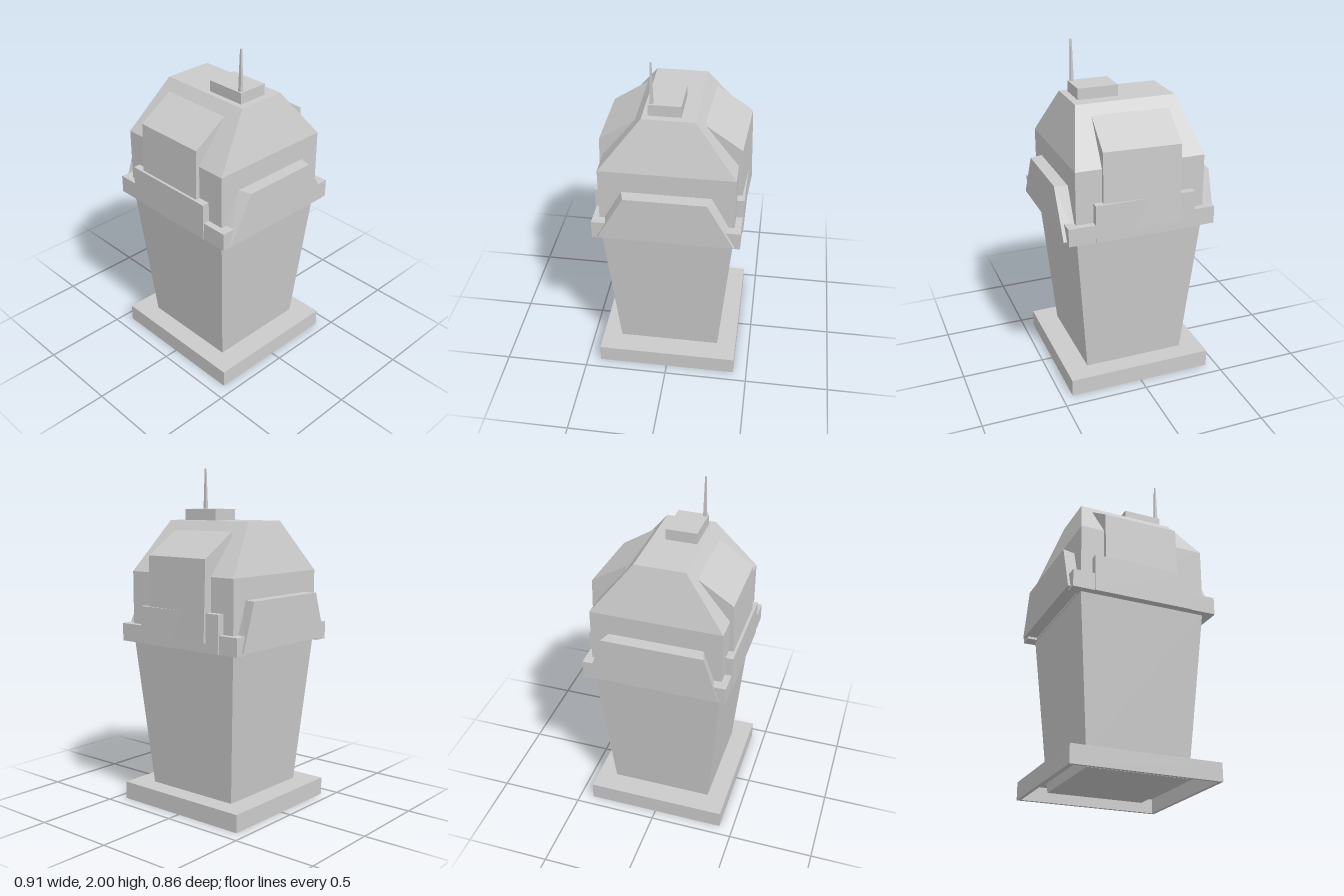
import * as THREE from 'three';

const material = new THREE.MeshStandardMaterial({ color: 0xcccccc, flatShading: true });

// Joins equal rings of points into a closed flat-sided solid.
// Each ring runs counter-clockwise when seen from the end of the loft.
function loft(rings) {
  const out = [];
  const n = rings[0].length;
  const tri = (a, b, c) => out.push(...a, ...b, ...c);
  for (let r = 0; r < rings.length - 1; r++) {
    const lo = rings[r], hi = rings[r + 1];
    for (let i = 0; i < n; i++) {
      const j = (i + 1) % n;
      tri(lo[i], lo[j], hi[j]);
      tri(lo[i], hi[j], hi[i]);
    }
  }
  const first = rings[0], last = rings[rings.length - 1];
  for (let i = 1; i < n - 1; i++) {
    tri(first[0], first[i + 1], first[i]);
    tri(last[0], last[i], last[i + 1]);
  }
  const geometry = new THREE.BufferGeometry();
  geometry.setAttribute('position', new THREE.Float32BufferAttribute(out, 3));
  geometry.computeVertexNormals();
  return geometry;
}

// Horizontal rectangle centred on the axis, half sizes hx and hz
const rect = (hx, hz, y) => [[-hx, y, hz], [hx, y, hz], [hx, y, -hz], [-hx, y, -hz]];

// Cross-section in the z-y plane at a given x
const section = (x, points) => points.map(([z, y]) => [x, y, z]);

export function createModel() {
  const model = new THREE.Group();
  model.name = 'tower';

  function add(name, geometry, parent = model) {
    const mesh = new THREE.Mesh(geometry, material);
    mesh.name = name;
    parent.add(mesh);
    return mesh;
  }
  // Box given by its limits
  function addBox(name, [x0, x1], [y0, y1], [z0, z1], parent) {
    const mesh = add(name, new THREE.BoxGeometry(x1 - x0, y1 - y0, z1 - z0), parent);
    mesh.position.set((x0 + x1) / 2, (y0 + y1) / 2, (z0 + z1) / 2);
    return mesh;
  }

  // Base: a plate with a rim, hollow underneath
  const base = new THREE.Group();
  base.name = 'base';
  model.add(base);
  addBox('basePlate', [-0.437, 0.437], [0.085, 0.105], [-0.418, 0.418], base);
  for (const s of [-1, 1]) {
    const side = addBox('baseRimSide', [-0.01, 0.01], [0, 0.085], [-0.418, 0.418], base);
    side.position.x = s * 0.427;
    const end = addBox('baseRimEnd', [-0.417, 0.417], [0, 0.085], [-0.01, 0.01], base);
    end.position.z = s * 0.408;
  }

  // Tapered body and faceted head
  add('body', loft([rect(0.295, 0.295, 0.03), rect(0.303, 0.303, 0.105), rect(0.379, 0.379, 0.995)]));
  add('head', loft([rect(0.382, 0.382, 0.985), rect(0.382, 0.382, 1.4), rect(0.295, 0.147, 1.695)]));

  // Stepped collar across the front and back
  for (const s of [-1, 1]) {
    const collar = new THREE.Group();
    collar.name = s > 0 ? 'frontCollar' : 'backCollar';
    model.add(collar);
    const ledge = addBox('collarLedge', [-0.44, 0.437], [0.985, 1.09], [-0.04, 0.04], collar);
    ledge.position.z = s * 0.38;
    const step = addBox('collarStep', [-0.312, 0.281], [0.985, 1.205], [-0.04, 0.04], collar);
    step.position.z = s * 0.385;
  }

  // Trapezoid side flaps, with the sloping ends slightly skewed
  const trapezoid = (x, bottom, top) =>
    section(x, [[bottom, 1.0], [-bottom, 1.0], [-top, 1.275], [top, 1.275]]);
  add('leftFlap', loft([trapezoid(0.37, 0.4, 0.255), trapezoid(0.456, 0.385, 0.232)]));
  add('rightFlap', loft([trapezoid(-0.456, 0.385, 0.295), trapezoid(-0.37, 0.365, 0.272)]));

  // Projecting hoods with sloping roofs; the back one sits a little askew
  const hoodProfile = [[0.415, 1.04], [0.2, 1.04], [0.187, 1.64], [0.4, 1.5]];
  const hood = (x0, x1) => loft([section(x0, hoodProfile), section(x1, hoodProfile)]);
  add('frontHood', hood(-0.243, 0.208));
  const backHood = add('backHood', hood(-0.208, 0.243));
  backHood.rotation.y = Math.PI - 0.055;
  backHood.position.z = -0.012;

  // Roof box and its square tapering antenna
  addBox('roofBox', [0.014, 0.253], [1.69, 1.76], [-0.066, 0.116]);
  const antenna = add('antenna', new THREE.CylinderGeometry(0.006, 0.014, 0.245, 4).rotateY(Math.PI / 4));
  antenna.position.set(0.233, 1.8775, 0.098);

  return model;
}
